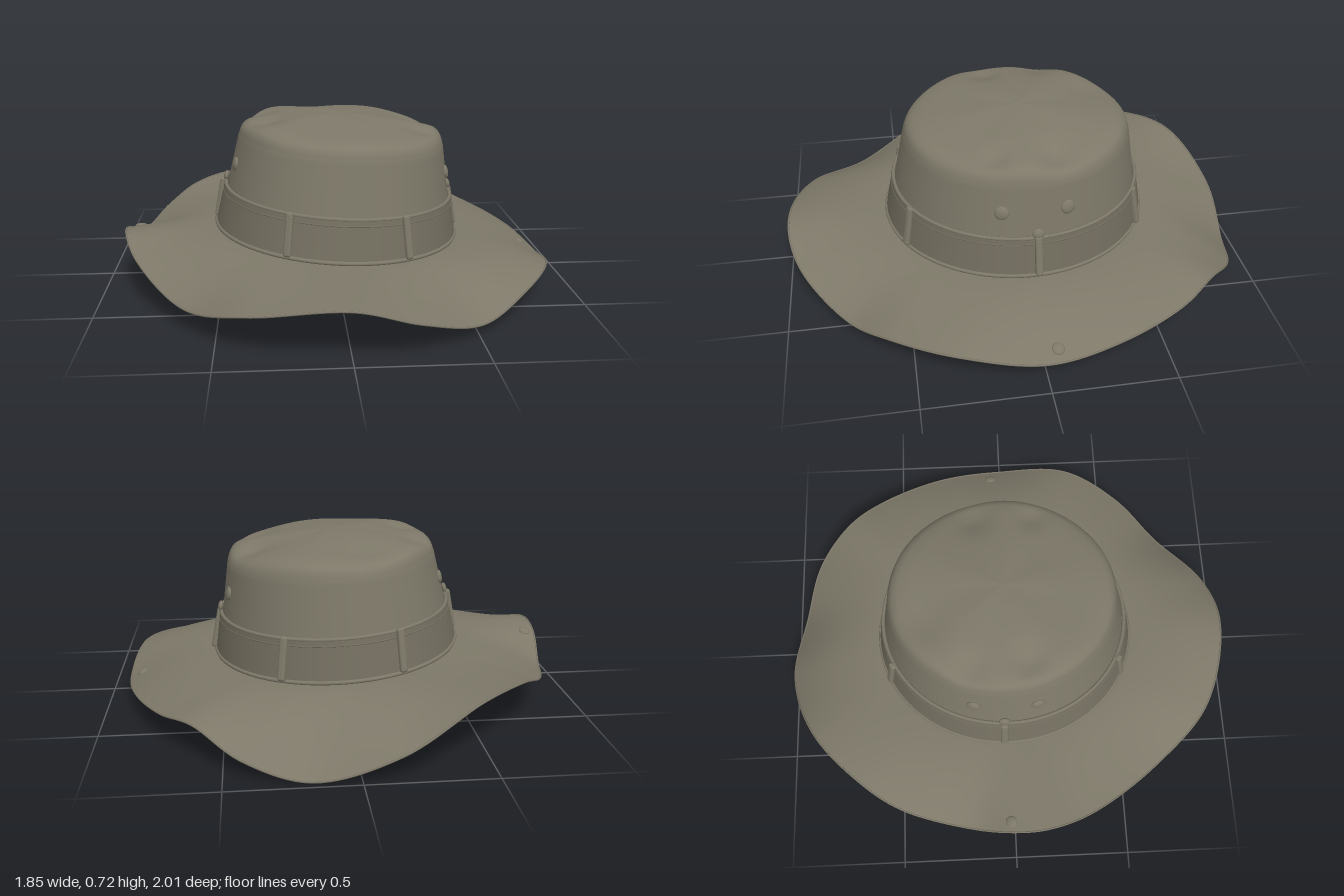
import * as THREE from 'three';
import { RoundedBoxGeometry } from 'three/addons/geometries/RoundedBoxGeometry.js';

const TAU = Math.PI * 2;
const V = (x, y, z) => new THREE.Vector3(x, y, z);

// Wavy outer edge of the brim, from +x round through +z; entry 10 is the -x side
const EDGE = [
  [0.92, 0.065, 0], [0.88, 0.115, 0.33], [0.72, 0.09, 0.58], [0.52, 0.04, 0.76], [0.25, 0.13, 0.95],
  [0, 0.205, 0.995], [-0.37, 0.155, 0.9], [-0.62, 0.09, 0.66], [-0.84, 0.175, 0.34], [-0.91, 0.235, 0.14],
  [-0.915, 0.215, 0], [-0.88, 0.135, -0.2], [-0.79, 0.175, -0.5], [-0.66, 0.235, -0.69], [-0.45, 0.24, -0.88],
  [-0.14, 0.1, -1], [0.18, 0, -0.97], [0.43, 0.06, -0.9], [0.61, 0.14, -0.75], [0.74, 0.12, -0.59],
  [0.87, 0.09, -0.3],
];
const edge = new THREE.CatmullRomCurve3(EDGE.map((p) => V(...p)), true);

// Crown wall: a leaning, tapering ellipse; "out" lifts a point off the cloth, k shrinks the ring
function side(a, y, out = 0, k = 1, rise = y) {
  const h = y - 0.2;
  const x = 0.004 + 0.06 * h + (0.52 - 0.18 * h + out) * k * Math.cos(a);
  const z = -0.012 - 0.02 * h + (0.56 - 0.185 * h + out) * k * Math.sin(a);
  return V(x, rise + 0.015 - 0.055 * x, z);
}

// Brim point: u round the edge, t from the crown seam (0) to the rim (1)
function brimAt(u, t) {
  const e = edge.getPoint(((u % 1) + 1) % 1);
  const i = side(Math.atan2(e.z / 1.04, e.x), 0.2);
  const p = i.clone().lerp(e, t);
  p.y = i.y + (e.y - i.y) * Math.pow(t, 1.8);
  return p;
}

// Crown rows: height and ring shrink
const profile = new THREE.CatmullRomCurve3([
  [0.2, 1], [0.38, 1], [0.5, 1], [0.59, 1], [0.628, 0.975], [0.65, 0.93],
  [0.664, 0.85], [0.676, 0.7], [0.69, 0.45], [0.7, 0.2], [0.704, 0.001],
].map(([y, k]) => V(k, y, 0)));
// Soft dents in the top: x, z, depth, width
const DENTS = [[-0.3, 0.08, 0.022, 0.07], [-0.33, -0.17, 0.018, 0.07], [0.37, -0.13, 0.025, 0.08],
  [0.36, 0.12, 0.018, 0.06], [0.1, 0.3, 0.008, 0.15], [-0.12, -0.36, 0.012, 0.1]];

function crownAt(u, v) {
  const a = u * TAU;
  const q = profile.getPoint(v);
  const k = Math.min(q.x, 1);
  const p = side(a, Math.min(q.y, 0.6), 0, k, q.y);
  const top = THREE.MathUtils.smoothstep(q.y, 0.57, 0.66);
  p.y += top * k * 0.006 * Math.sin(5 * a + 1);
  for (const [x, z, depth, w] of DENTS) {
    p.y -= top * depth * Math.exp(-((p.x - x) ** 2 + (p.z - z) ** 2) / (w * w));
  }
  return p;
}

// Surface closed round u, open along v
function surface(nu, nv, fn) {
  const pos = [], idx = [];
  for (let j = 0; j <= nv; j++) {
    for (let i = 0; i < nu; i++) pos.push(...fn(i / nu, j / nv).toArray());
  }
  for (let j = 0; j < nv; j++) {
    for (let i = 0; i < nu; i++) {
      const a = j * nu + i, b = j * nu + ((i + 1) % nu);
      idx.push(a, a + nu, b, b, a + nu, b + nu);
    }
  }
  const g = new THREE.BufferGeometry();
  g.setAttribute('position', new THREE.Float32BufferAttribute(pos, 3));
  g.setIndex(idx);
  g.computeVertexNormals();
  return g;
}

// Cord running right round the crown wall
function ring(y, out, radius) {
  const pts = Array.from({ length: 32 }, (_, i) => side((i / 32) * TAU, y, out));
  return new THREE.TubeGeometry(new THREE.CatmullRomCurve3(pts, true), 128, radius, 8, true);
}

export function createModel() {
  const group = new THREE.Group();
  const cloth = new THREE.MeshStandardMaterial({ color: 0x7d7868, side: THREE.DoubleSide });
  cloth.name = 'olive cloth';
  const trim = new THREE.MeshStandardMaterial({ color: 0x736e5f, side: THREE.DoubleSide });
  trim.name = 'darker olive trim';
  const add = (name, geometry, material) => {
    const m = new THREE.Mesh(geometry, material);
    m.name = name;
    group.add(m);
    return m;
  };

  // Crown and brim
  add('crown', surface(128, 60, crownAt), cloth);
  add('brim', surface(168, 28, (u, v) => brimAt(u, 1 - v)), cloth);
  add('brimHem', new THREE.TubeGeometry(edge, 200, 0.004, 6, true), cloth);

  // Hat band with piped edges
  add('band', surface(128, 4, (u, v) => side(u * TAU, 0.205 + 0.17 * v, 0.014)), trim);
  add('bandBottomPiping', ring(0.207, 0.012, 0.009), cloth);
  add('bandTopPiping', ring(0.375, 0.008, 0.008), cloth);
  add('bandStitchLine', ring(0.35, 0.013, 0.003), trim);

  // Place a mesh flat against the crown wall at angle a
  const onWall = (mesh, a, y, out) => {
    mesh.position.copy(side(a, y, out));
    mesh.rotation.set(-0.18, Math.atan2(Math.cos(a) / 0.52, Math.sin(a) / 0.56), 0, 'YXZ');
  };

  // Six band loops
  for (const [x, z] of [[0.5, -0.03], [0.25, 0.48], [-0.22, 0.48], [-0.5, -0.03], [-0.22, -0.52], [0.26, -0.52]]) {
    const a = Math.atan2((z + 0.012) / 0.54, x / 0.5);
    onWall(add('bandLoop', new RoundedBoxGeometry(0.032, 0.18, 0.026, 3, 0.01), cloth), a, 0.298, 0.018);
  }

  // Vent eyelets and side snaps on the crown
  const stud = new THREE.SphereGeometry(1, 24, 12);
  for (const s of [1, -1]) {
    for (const [z, y, r] of [[0.115, 0.485, 0.03], [-0.155, 0.485, 0.03], [-0.03, 0.395, 0.024]]) {
      const a = Math.atan2((z + 0.015) / 0.51, s * Math.sqrt(1 - (z / 0.51) ** 2));
      const m = add(r > 0.025 ? 'ventEyelet' : 'sideSnap', stud, cloth);
      onWall(m, a, y, r > 0.025 ? 0.001 : 0.012);
      m.scale.set(r, r, 0.012);
    }
  }

  // Snaps near the brim edge
  for (const [u, t] of [[-0.16 / EDGE.length, 0.87], [10.1 / EDGE.length, 0.89]]) {
    const p = brimAt(u, t);
    const du = brimAt(u + 0.005, t).sub(p), dt = brimAt(u, t + 0.02).sub(p);
    const n = du.cross(dt).normalize();
    if (n.y < 0) n.negate();
    const m = add('brimSnap', stud, cloth);
    m.position.copy(p);
    m.quaternion.setFromUnitVectors(V(0, 0, 1), n);
    m.scale.set(0.025, 0.025, 0.01);
  }

  return group;
}
